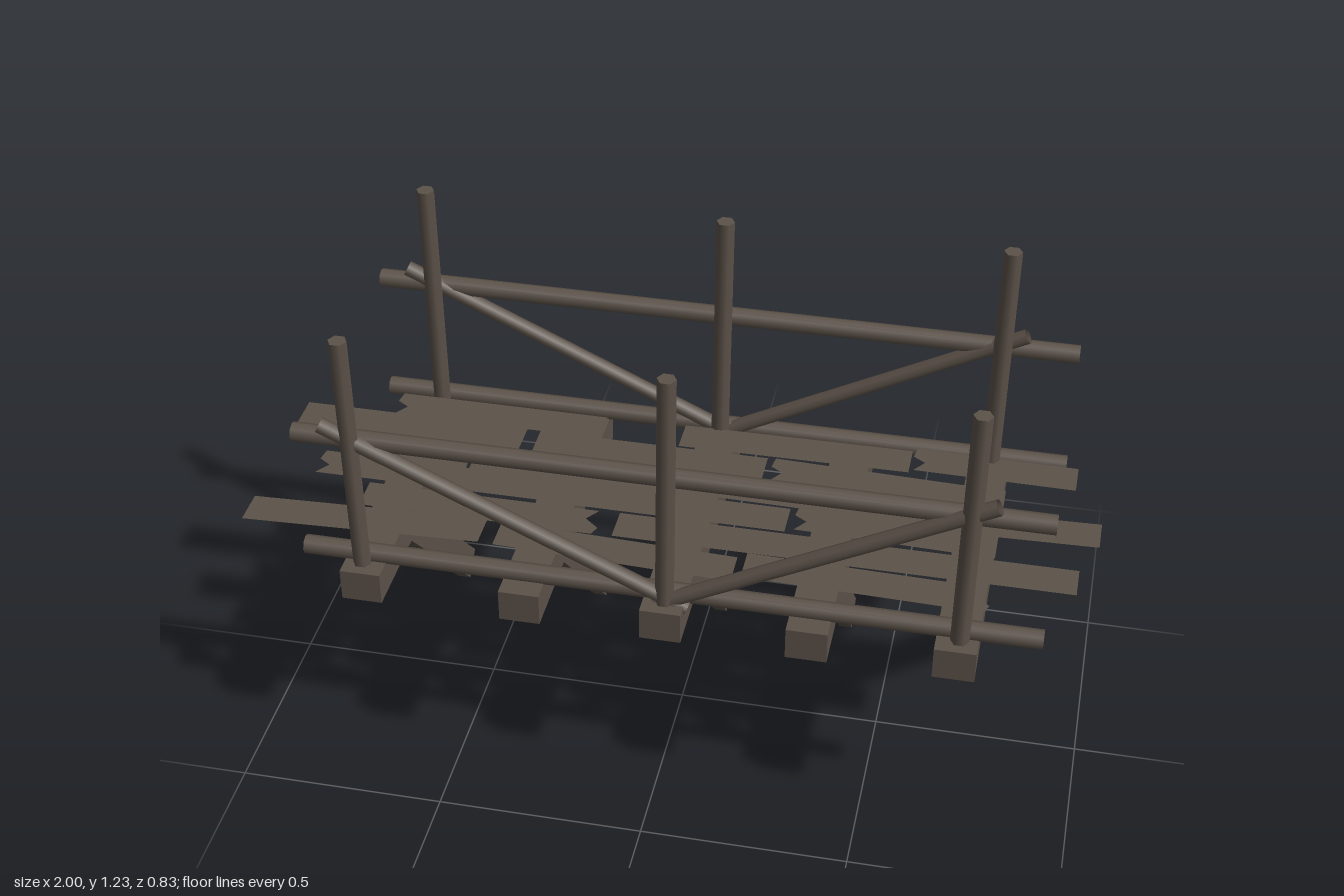
import * as THREE from 'three';

const wood = new THREE.MeshStandardMaterial({ color: 0x5c5249, side: THREE.DoubleSide });
wood.name = 'weathered wood';

export function createModel() {
  const group = new THREE.Group();
  group.name = 'woodenWalkway';

  const add = (name, geometry) => {
    const mesh = new THREE.Mesh(geometry, wood);
    mesh.name = name;
    group.add(mesh);
    return mesh;
  };

  // Round pole between two points
  const pole = (name, a, b, radius, sides, open) => {
    const from = new THREE.Vector3(...a), to = new THREE.Vector3(...b);
    const dir = to.clone().sub(from);
    const geo = new THREE.CylinderGeometry(radius, radius, dir.length(), sides, 1, open);
    geo.rotateY(Math.PI / 2);
    const mesh = add(name, geo);
    mesh.position.copy(from).add(to).multiplyScalar(0.5);
    mesh.quaternion.setFromUnitVectors(new THREE.Vector3(0, 1, 0), dir.normalize());
  };

  // Cross beams, each with a slanted strut below
  for (const x of [-0.68, -0.3, 0.032, 0.37, 0.705]) {
    add('crossBeam', new THREE.BoxGeometry(0.096, 0.08, 0.76)).position.set(x, 0.58, 0.035);
    const length = 0.756;
    const dir = new THREE.Vector3(0, 0.725, 0.689).normalize();
    const strut = add('strut', new THREE.BoxGeometry(0.034, length, 0.079));
    strut.position.set(x, 0.0305, -0.3825).addScaledVector(dir, length / 2);
    strut.rotation.x = Math.atan2(dir.z, dir.y);
  }

  // Railings on both long sides: posts, rails and diagonal braces
  const sides = [
    { post: 0.372, rail: 0.348, brace: 0.366 },
    { post: -0.3, rail: -0.327, brace: -0.318 },
  ];
  for (const z of sides) {
    for (const [bottom, top] of [[-0.686, -0.692], [0.034, 0.042], [0.71, 0.717]])
      pole('post', [bottom, 0.6, z.post], [top, 1.235, z.post], 0.022, 6, false);
    for (const y of [0.634, 0.957])
      pole('rail', [-0.83, y, z.rail], [0.895, y, z.rail], 0.023, 8, true);
    pole('brace', [-0.758, 0.998, z.brace], [0.085, 0.606, z.brace], 0.019, 8, true);
    pole('brace', [0.77, 0.998, z.brace], [0.01, 0.606, z.brace], 0.019, 8, true);
  }

  // Deck planks: left x, right x, left z, right z (edge nearest the back), height, broken ends
  const planks = [
    [-0.78, -0.25, -0.28, -0.28, 0.645, 'L'],
    [-0.05, 0.52, -0.285, -0.29, 0.646, ''],
    [0.53, 0.925, -0.305, -0.3, 0.644, 'L'],
    [-1.0, -0.43, -0.18, -0.18, 0.655, ''],
    [-0.4, 0.175, -0.19, -0.19, 0.645, ''],
    [0.195, 0.76, -0.19, -0.17, 0.647, 'L'],
    [-0.77, -0.54, -0.08, -0.08, 0.646, 'L'],
    [-0.53, 0.05, -0.08, -0.08, 0.65, ''],
    [0.05, 0.62, -0.09, -0.08, 0.652, ''],
    [0.42, 0.995, -0.066, -0.085, 0.646, 'L'],
    [-0.89, -0.315, 0.01, 0.01, 0.655, 'L'],
    [-0.305, 0.265, 0.01, 0.01, 0.652, ''],
    [0.285, 0.76, 0.0, 0.015, 0.654, 'L'],
    [-0.75, -0.18, 0.105, 0.105, 0.648, 'R'],
    [-0.13, 0.38, 0.105, 0.105, 0.65, 'R'],
    [0.38, 0.955, 0.113, 0.113, 0.655, ''],
    [-1.0, -0.43, 0.222, 0.197, 0.655, ''],
    [-0.395, 0.175, 0.195, 0.218, 0.652, ''],
    [0.195, 0.755, 0.2, 0.215, 0.654, 'R'],
  ];
  const width = 0.09;
  for (const [x0, x1, z0, z1, y, broken] of planks) {
    const points = [[x0, z0], [x1, z1]];
    if (broken === 'R') points.push([x1 - 0.025, z1 + 0.035], [x1 + 0.01, z1 + 0.065]);
    points.push([x1, z1 + width], [x0, z0 + width]);
    if (broken === 'L') points.push([x0 + 0.025, z0 + 0.055], [x0 - 0.005, z0 + 0.035]);
    const shape = new THREE.Shape(points.map(p => new THREE.Vector2(p[0], -p[1])));
    const geo = new THREE.ShapeGeometry(shape);
    geo.rotateX(-Math.PI / 2);
    add('deckPlank', geo).position.y = y;
  }

  return group;
}
